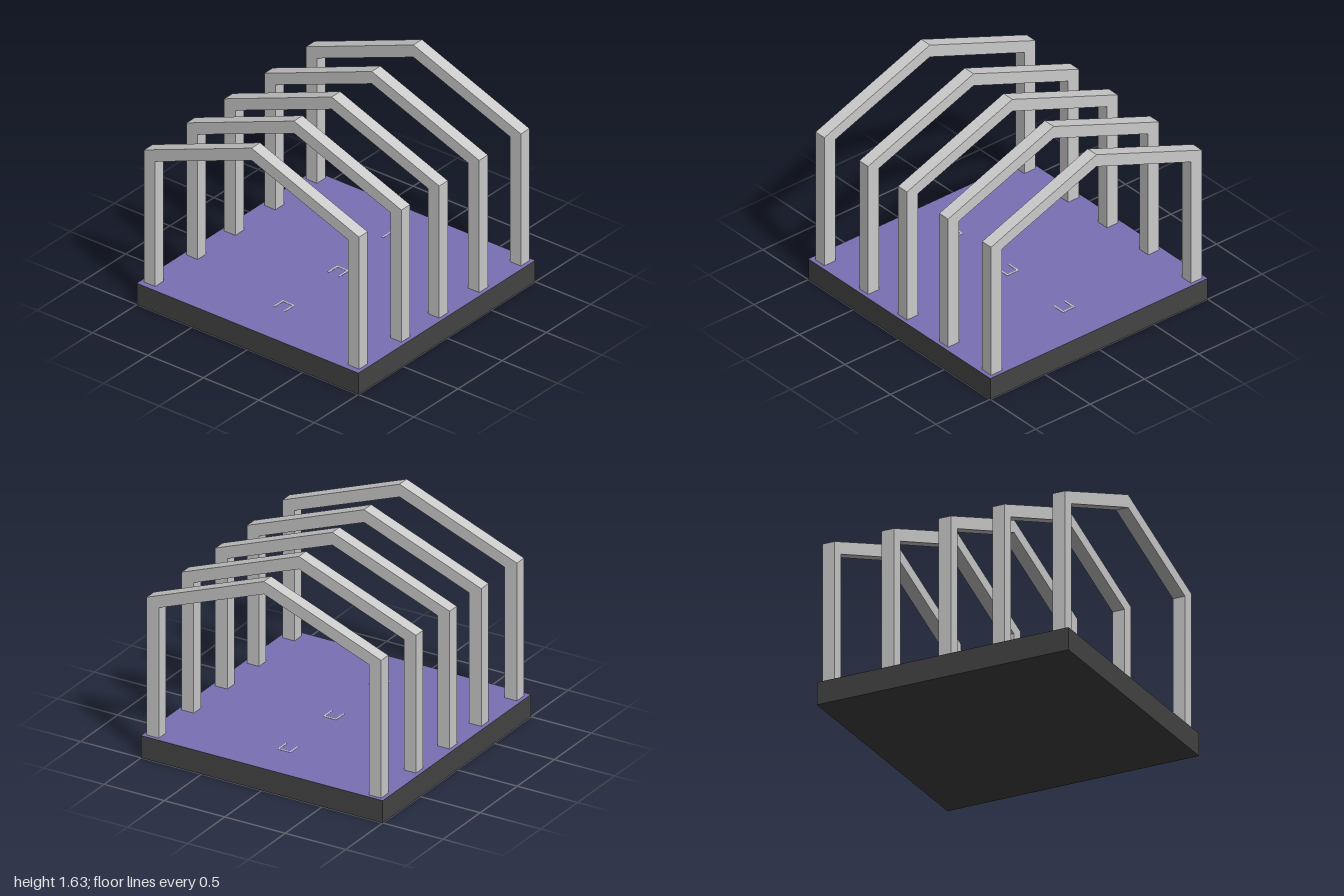
import * as THREE from 'three';

const grey = new THREE.MeshStandardMaterial({ color: 0xcccccc, flatShading: true });
const dark = new THREE.MeshStandardMaterial({ color: 0x444444 });
const purple = new THREE.MeshStandardMaterial({ color: 0x7a70b5 });

const BASE_TOP = 0.175;

// Closed outline extruded by depth, centred on z = 0
function extrudeOutline(points, depth) {
  const shape = new THREE.Shape(points.map(([x, y]) => new THREE.Vector2(x, y)));
  return new THREE.ExtrudeGeometry(shape, { depth, bevelEnabled: false }).translate(0, 0, -depth / 2);
}

function add(parent, name, geometry, material) {
  const mesh = new THREE.Mesh(geometry, material);
  mesh.name = name;
  parent.add(mesh);
  return mesh;
}

export function createModel() {
  const model = new THREE.Group();
  model.name = 'openFrameHall';

  // Foundation slab with a coloured floor
  add(model, 'foundation', new THREE.BoxGeometry(2, BASE_TOP, 2).translate(0, BASE_TOP / 2, 0), dark);
  add(model, 'floor', new THREE.PlaneGeometry(2, 2).rotateX(-Math.PI / 2), purple).position.y = BASE_TOP + 0.001;

  // Portal frames: two posts and a pitched pair of rafters in one outline
  const frameGeometry = extrudeOutline([
    [-0.97, BASE_TOP], [-0.87, BASE_TOP], [-0.87, 1.2], [0, 1.53], [0.87, 1.2], [0.87, BASE_TOP],
    [0.97, BASE_TOP], [0.97, 1.258], [0, 1.63], [-0.97, 1.258],
  ], 0.097);
  [0.907, 0.427, 0, -0.453, -0.924].forEach((z, i) => {
    add(model, `portalFrame${i + 1}`, frameGeometry, grey).position.z = z;
  });

  // Flat U-shaped floor markings, open towards the front
  const markGeometry = extrudeOutline([
    [-0.055, -0.054], [-0.042, -0.054], [-0.042, 0.041], [0.042, 0.041],
    [0.042, -0.054], [0.055, -0.054], [0.055, 0.054], [-0.055, 0.054],
  ], 0.002).rotateX(-Math.PI / 2);
  [0.6, -0.015, -0.63].forEach((z, i) => {
    add(model, `floorMarking${i + 1}`, markGeometry, grey).position.set(0.01, BASE_TOP + 0.002, z);
  });

  return model;
}
